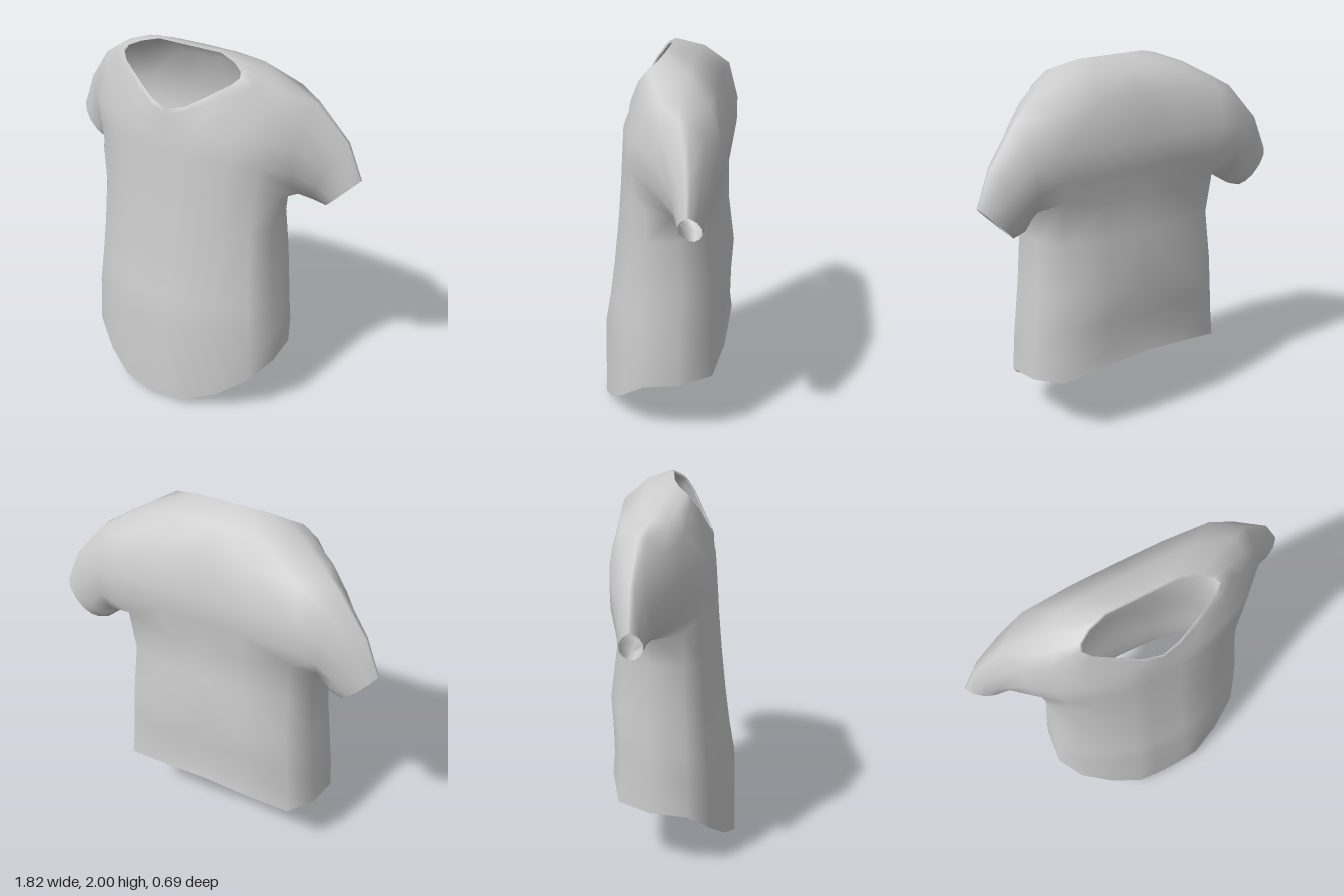
import * as THREE from 'three';
import { mergeVertices } from 'three/addons/utils/BufferGeometryUtils.js';

// Half cross-section of the body, from front centre round the side to back centre
const X = [0, 0.16, 0.33, 0.61, 0.86, 1, 0.97, 0.83, 0.4, 0];
const Z = [1, 1, 0.99, 0.79, 0.53, 0.18, 0.38, 1, 0.99, 1]; // share of front or back depth
const HEM = [0, 0.015, 0.04, 0.11, 0.22, 0.325, 0.34, 0.365, 0.41, 0.425];
const ARMPIT = [1.3, 1.3, 1.3, 1.32, 1.37, 1.3, 1.3, 1.36, 1.31, 1.3];
const ARM_LOW = 5, ARM_HIGH = 8, ARM_FRONT = 4, ARM_BACK = 7;

// corner: how square the back is where it turns to the side
const bodyRow = (y, width, front, back, corner) => X.map((x, c) => [
  x * width,
  Array.isArray(y) ? y[c] : y,
  Z[c] * (c < 6 ? front : back) * (c === ARM_BACK ? corner : 1)]);

// Yoke rows that close over the shoulders towards the collar
const shoulder = [
  [0, 1.66, 0.214], [0.1, 1.67, 0.205], [0.2, 1.7, 0.185], [0.38, 1.77, 0.13], [0.52, 1.78, 0.045],
  [0.565, 1.835, -0.03], [0.57, 1.845, -0.12], [0.51, 1.81, -0.265], [0.25, 1.84, -0.268], [0, 1.845, -0.268]];
const yoke = [
  [0, 1.685, 0.213], [0.1, 1.705, 0.2], [0.2, 1.755, 0.172], [0.36, 1.84, 0.125], [0.44, 1.88, 0.07],
  [0.45, 1.9, 0.02], [0.43, 1.925, -0.05], [0.36, 1.935, -0.14], [0.2, 1.95, -0.14], [0, 1.953, -0.14]];
const collar = [
  [0, 1.71, 0.21], [0.1, 1.735, 0.192], [0.2, 1.795, 0.16], [0.33, 1.88, 0.115], [0.37, 1.92, 0.085],
  [0.36, 1.95, 0.06], [0.3, 1.975, 0.025], [0.2, 2, 0], [0.1, 2, 0], [0, 2, 0]];
// Narrow edge turned in behind the collar
const collarTurn = collar.map(([x, y, z]) => [x * 0.97, y - 0.015, z + (0.09 - z) * 0.06]);

const rows = [
  bodyRow(HEM, 0.61, 0.345, -0.336, 0.87),
  bodyRow(0.5, 0.602, 0.335, -0.325, 0.87),
  bodyRow(0.66, 0.588, 0.308, -0.328, 0.86),
  bodyRow(0.85, 0.57, 0.283, -0.34, 0.83),
  bodyRow(1.12, 0.552, 0.255, -0.305, 0.83),
  bodyRow(ARMPIT, 0.57, 0.24, -0.3, 0.93),
  bodyRow(1.48, 0.59, 0.228, -0.327, 0.97),
  bodyRow(1.62, 0.61, 0.218, -0.325, 0.97),
  shoulder, yoke, collar, collarTurn,
];

// Sleeve ring: [bottom-to-top, back-to-front] in the order of the armhole loop
const RING = [[-0.75, 0.65], [-1, 0.2], [-1, -0.2], [-0.75, -0.65], [-0.35, -0.95], [0.2, -0.95],
  [0.68, -0.65], [1, -0.12], [1, 0.12], [0.68, 0.65], [0.2, 0.95], [-0.35, 0.95]];

function sleeveRing(top, bottom, z, depth) {
  return RING.map(([u, v]) => {
    const t = (u + 1) / 2;
    return [bottom[0] + (top[0] - bottom[0]) * t, bottom[1] + (top[1] - bottom[1]) * t, z + v * depth];
  });
}

function buildShirt() {
  const position = [];
  // Adds a quad on the left half and its mirror on the right
  const quad = (a, b, c, d) => {
    for (const p of [a, b, c, a, c, d]) position.push(...p);
    for (const p of [a, c, b, a, d, c]) position.push(p[0] ? -p[0] : 0, p[1], p[2]);
  };

  // Body, leaving out the armhole
  for (let r = 0; r < rows.length - 1; r++) {
    for (let c = 0; c < X.length - 1; c++) {
      const inArmhole = r >= ARM_LOW && r < ARM_HIGH && c >= ARM_FRONT && c < ARM_BACK;
      if (!inArmhole) quad(rows[r][c], rows[r][c + 1], rows[r + 1][c + 1], rows[r + 1][c]);
    }
  }

  // Sleeve, grown from the armhole loop to the cuff
  const armhole = [];
  for (let c = ARM_FRONT; c <= ARM_BACK; c++) armhole.push(rows[ARM_LOW][c]);
  for (let r = ARM_LOW + 1; r < ARM_HIGH; r++) armhole.push(rows[r][ARM_BACK]);
  for (let c = ARM_BACK; c >= ARM_FRONT; c--) armhole.push(rows[ARM_HIGH][c]);
  for (let r = ARM_HIGH - 1; r > ARM_LOW; r--) armhole.push(rows[r][ARM_FRONT]);
  const sleeve = [
    armhole,
    sleeveRing([0.665, 1.785], [0.605, 1.275], -0.15, 0.165),
    sleeveRing([0.83, 1.59], [0.66, 1.235], -0.195, 0.09),
    sleeveRing([0.91, 1.4], [0.73, 1.215], -0.205, 0.06),
  ];
  for (let r = 0; r < sleeve.length - 1; r++) {
    for (let i = 0; i < RING.length; i++) {
      const j = (i + 1) % RING.length;
      quad(sleeve[r][i], sleeve[r][j], sleeve[r + 1][j], sleeve[r + 1][i]);
    }
  }

  const geometry = new THREE.BufferGeometry();
  geometry.setAttribute('position', new THREE.Float32BufferAttribute(position, 3));
  const merged = mergeVertices(geometry, 1e-4);
  merged.computeVertexNormals();
  return merged;
}

export function createModel() {
  const group = new THREE.Group();
  group.name = 'shirt';
  const cloth = new THREE.MeshStandardMaterial({ color: 0xcccccc, side: THREE.DoubleSide });
  cloth.name = 'light grey cloth';
  const shirt = new THREE.Mesh(buildShirt(), cloth);
  shirt.name = 'bodyAndSleeves';
  group.add(shirt);
  return group;
}
